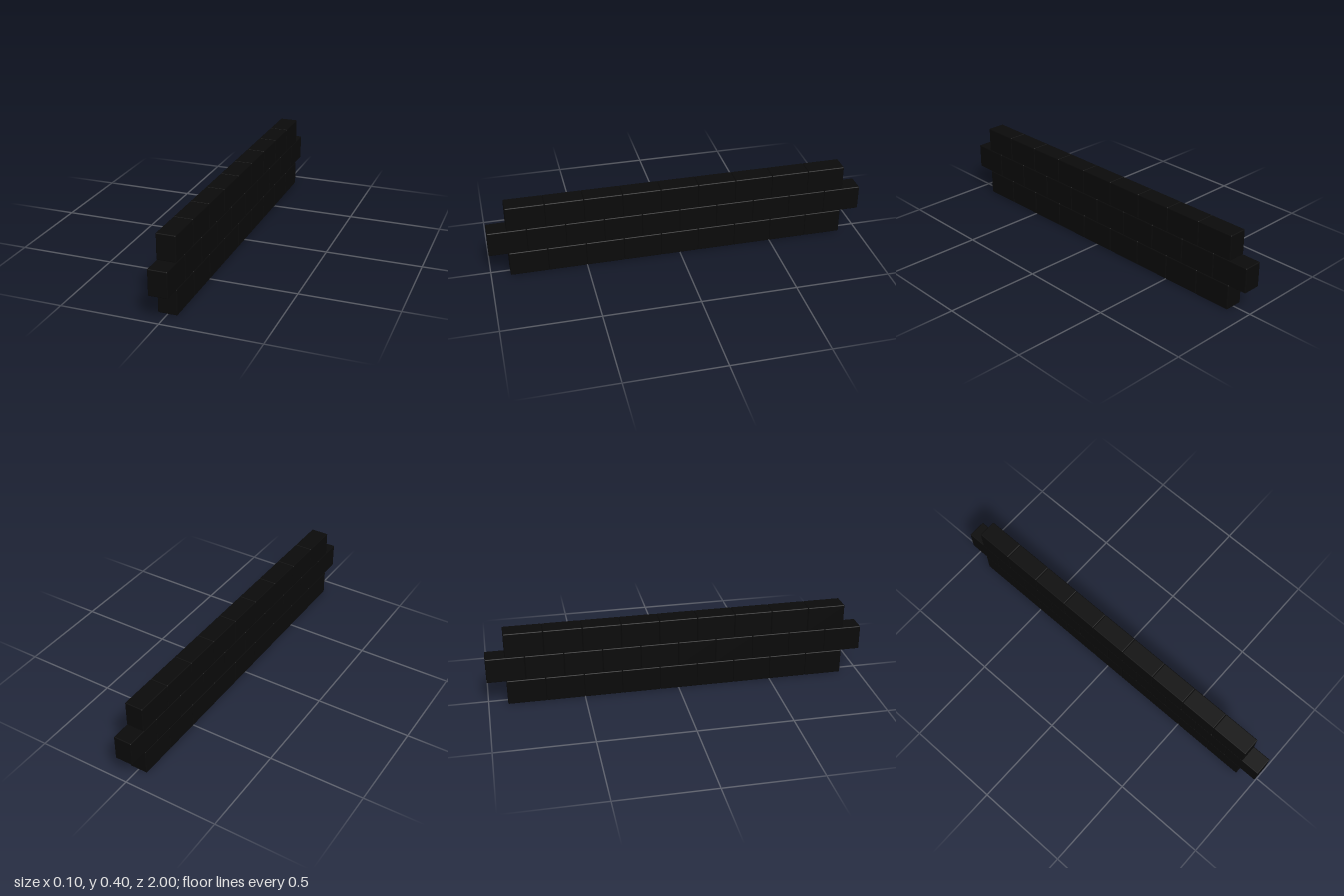
import * as THREE from 'three';
import { RoundedBoxGeometry } from 'three/addons/geometries/RoundedBoxGeometry.js';

const LENGTH = 0.2, HEIGHT = 0.4 / 3, DEPTH = 0.098;

export function createModel() {
  const wall = new THREE.Group();
  wall.name = 'brickWall';
  const material = new THREE.MeshStandardMaterial({ color: 0x0a0a0a });

  // One softly bevelled brick shared by every course
  const brick = new RoundedBoxGeometry(DEPTH, HEIGHT, LENGTH, 2, 0.005);

  // Running bond: the middle course has one more brick and overhangs by half
  [9, 10, 9].forEach((count, row) => {
    const course = new THREE.Group();
    course.name = ['bottomCourse', 'middleCourse', 'topCourse'][row];
    for (let i = 0; i < count; i++) {
      const mesh = new THREE.Mesh(brick, material);
      mesh.name = 'brick';
      mesh.position.set(0, HEIGHT * (row + 0.5), (i - (count - 1) / 2) * LENGTH);
      course.add(mesh);
    }
    wall.add(course);
  });
  return wall;
}
